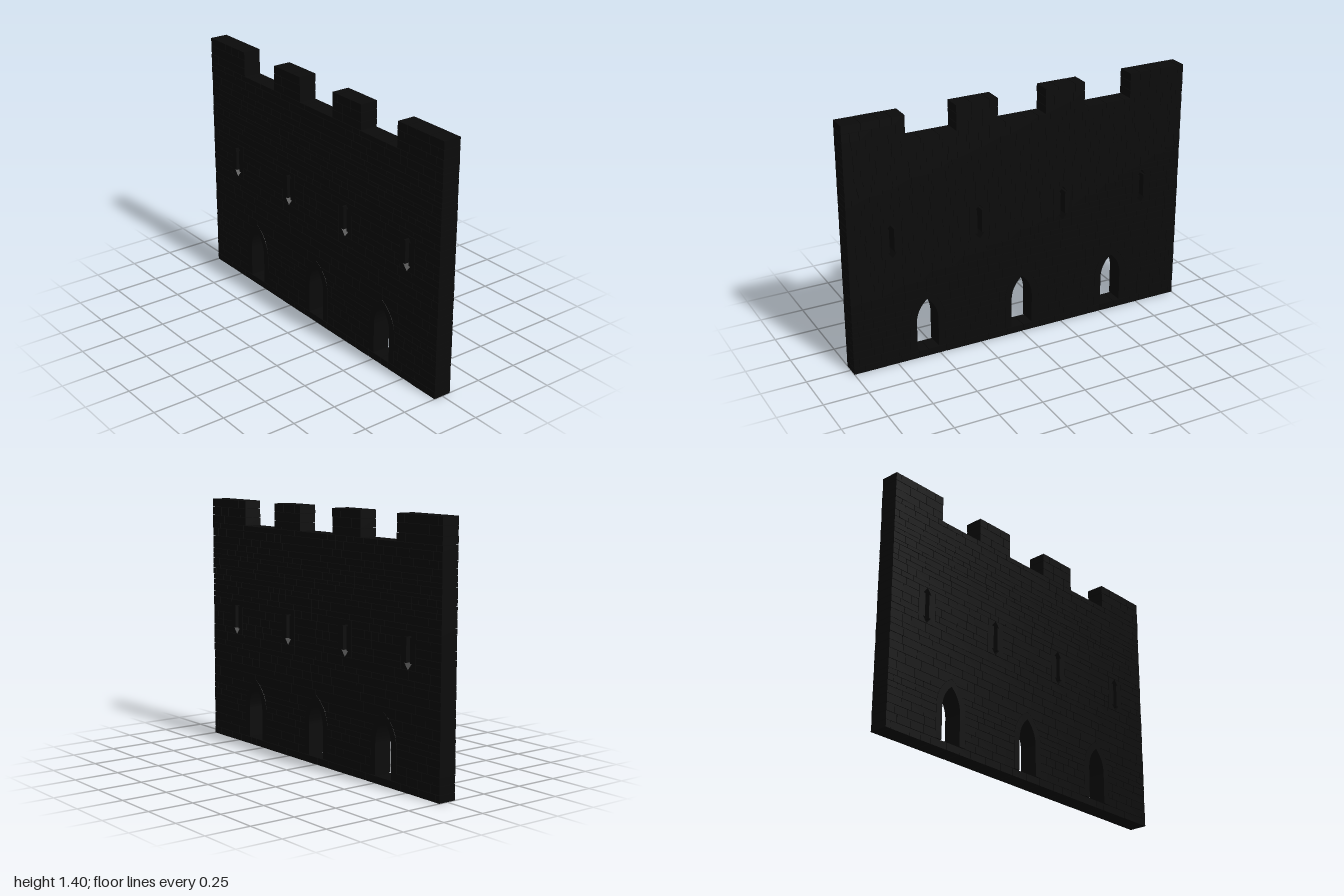
import * as THREE from 'three';
import { mergeGeometries } from 'three/addons/utils/BufferGeometryUtils.js';

const DEPTH = 0.104, GAP = 0.0025;
const stone = new THREE.MeshStandardMaterial({ color: 0x0a0a0a, flatShading: true });

// Course heights from the ground to the top of the battlements
const COURSES = [0, 0.04, 0.085, 0.13, 0.175, 0.215, 0.245, 0.28, 0.31, 0.36, 0.415, 0.46, 0.505,
  0.55, 0.58, 0.63, 0.665, 0.7, 0.745, 0.79, 0.83, 0.86, 0.905, 0.935, 0.965, 1.0, 1.02, 1.06,
  1.085, 1.115, 1.15, 1.19, 1.235, 1.265, 1.31, 1.36, 1.405];
const PARAPET = 1.265;
const MERLONS = [[-1, -0.663], [-0.378, -0.143], [0.14, 0.377], [0.662, 1]];
const DOORS = [-0.57, 0, 0.57];
const SLITS = [-0.757, -0.253, 0.253, 0.757];

let seed = 7;
const random = () => (seed = (seed * 16807) % 2147483647) / 2147483647;

// Half width of a pointed arch at height y
const archWidth = ({ w, spring, rise }) => y => {
  if (y <= spring) return w;
  if (y >= spring + rise) return 0;
  const r = (w * w + rise * rise) / (2 * w);
  return Math.max(0, w - r + Math.sqrt(r * r - (y - spring) ** 2));
};
const INNER = { w: 0.063, spring: 0.215, rise: 0.13 };
const OUTER = { w: 0.103, spring: 0.215, rise: 0.17 };
const innerArch = archWidth(INNER), outerArch = archWidth(OUTER);

// A stone cut from a front outline, running through the wall
function prism(points, depth = DEPTH) {
  const shape = new THREE.Shape(points.map(p => new THREE.Vector2(...p)));
  return new THREE.ExtrudeGeometry(shape, { depth, bevelEnabled: false }).translate(0, 0, -depth / 2);
}

function mesh(parts, name) {
  const m = new THREE.Mesh(mergeGeometries(parts), stone);
  m.name = name;
  return m;
}

// A brick between two edges, each given as x for a height y
function brick(left, right, y0, y1, curved) {
  const n = curved ? 6 : 1, points = [];
  const bottom = y0 === 0 ? 0 : y0 + GAP / 2, top = y1 === 1.405 ? y1 : y1 - GAP / 2;
  for (let i = 0; i <= n; i++) {
    const y = bottom + (top - bottom) * i / n;
    points.push([left(y), y]);
  }
  for (let i = n; i >= 0; i--) {
    const y = bottom + (top - bottom) * i / n;
    points.push([right(y), y]);
  }
  return prism(points, DEPTH - random() * 0.003);
}

// Bricks of random length filling one stretch of a course
function fillStretch(left, right, y0, y1, curved) {
  const start = Math.max(left(y0), left(y1)), end = Math.min(right(y0), right(y1));
  const cuts = [];
  for (let x = start + 0.03 + random() * 0.07; x < end - 0.03; x += 0.05 + random() * 0.08) cuts.push(x);
  const parts = [];
  for (let i = 0; i <= cuts.length; i++) {
    const a = i === 0 ? left : () => cuts[i - 1] + GAP / 2;
    const b = i === cuts.length ? right : () => cuts[i] - GAP / 2;
    parts.push(brick(a, b, y0, y1, curved && (i === 0 || i === cuts.length)));
  }
  return parts;
}

function course(y0, y1) {
  if (y0 >= PARAPET) return MERLONS.flatMap(([a, b]) => fillStretch(() => a, () => b, y0, y1, false));
  let blocks = [], halfWidth = null;
  if (y0 >= 0.04 && y0 < 0.385) [blocks, halfWidth] = [DOORS, outerArch];
  if (y0 >= 0.63 && y0 < 0.83) [blocks, halfWidth] = [SLITS, () => 0.058];
  const parts = [];
  for (let i = 0; i <= blocks.length; i++) {
    const left = i === 0 ? () => -1 : y => blocks[i - 1] + halfWidth(y) + GAP / 2;
    const right = i === blocks.length ? () => 1 : y => blocks[i] - halfWidth(y) - GAP / 2;
    parts.push(...fillStretch(left, right, y0, y1, blocks === DOORS && y1 > 0.22));
  }
  return parts;
}

// Jamb stones and wedge-shaped arch stones on both sides of an opening
function doorFrame(x) {
  const parts = [];
  const jambs = [0.043, 0.085, 0.13, 0.175, 0.215];
  for (const s of [-1, 1]) {
    for (let i = 0; i < 4; i++) {
      const [a, b] = [jambs[i], jambs[i + 1]];
      parts.push(prism([[INNER.w, a], [OUTER.w, a], [OUTER.w, b], [INNER.w, b]].map(([u, y]) => [x + s * u, y])));
    }
    const inner = t => { const y = INNER.spring + INNER.rise * t; return [x + s * innerArch(y), y]; };
    const outer = t => { const y = OUTER.spring + OUTER.rise * t; return [x + s * outerArch(y), y]; };
    for (let i = 0; i < 5; i++) {
      const [a, m, b] = [i / 5, (i + 0.5) / 5, (i + 1) / 5];
      parts.push(prism([inner(a), outer(a), outer(m), outer(b), inner(b), inner(m)]));
    }
  }
  return mesh(parts, 'doorFrame');
}

// Two mirrored stones leaving a double-headed arrow opening
function slitFrame(x) {
  const half = [[0.057, 0.6315], [0.001, 0.6315], [0.028, 0.665], [0.014, 0.665],
    [0.014, 0.795], [0.028, 0.795], [0.001, 0.8285], [0.057, 0.8285]];
  return mesh([-1, 1].map(s => prism(half.map(([u, y]) => [x + s * u, y]))), 'arrowSlitFrame');
}

export function createModel() {
  const model = new THREE.Group();
  model.name = 'castleWall';
  for (let i = 0; i < COURSES.length - 1; i++) {
    const name = COURSES[i] >= PARAPET ? 'merlonCourse' : 'brickCourse';
    model.add(mesh(course(COURSES[i], COURSES[i + 1]), name));
  }
  DOORS.forEach(x => model.add(doorFrame(x)));
  SLITS.forEach(x => model.add(slitFrame(x)));
  return model;
}
